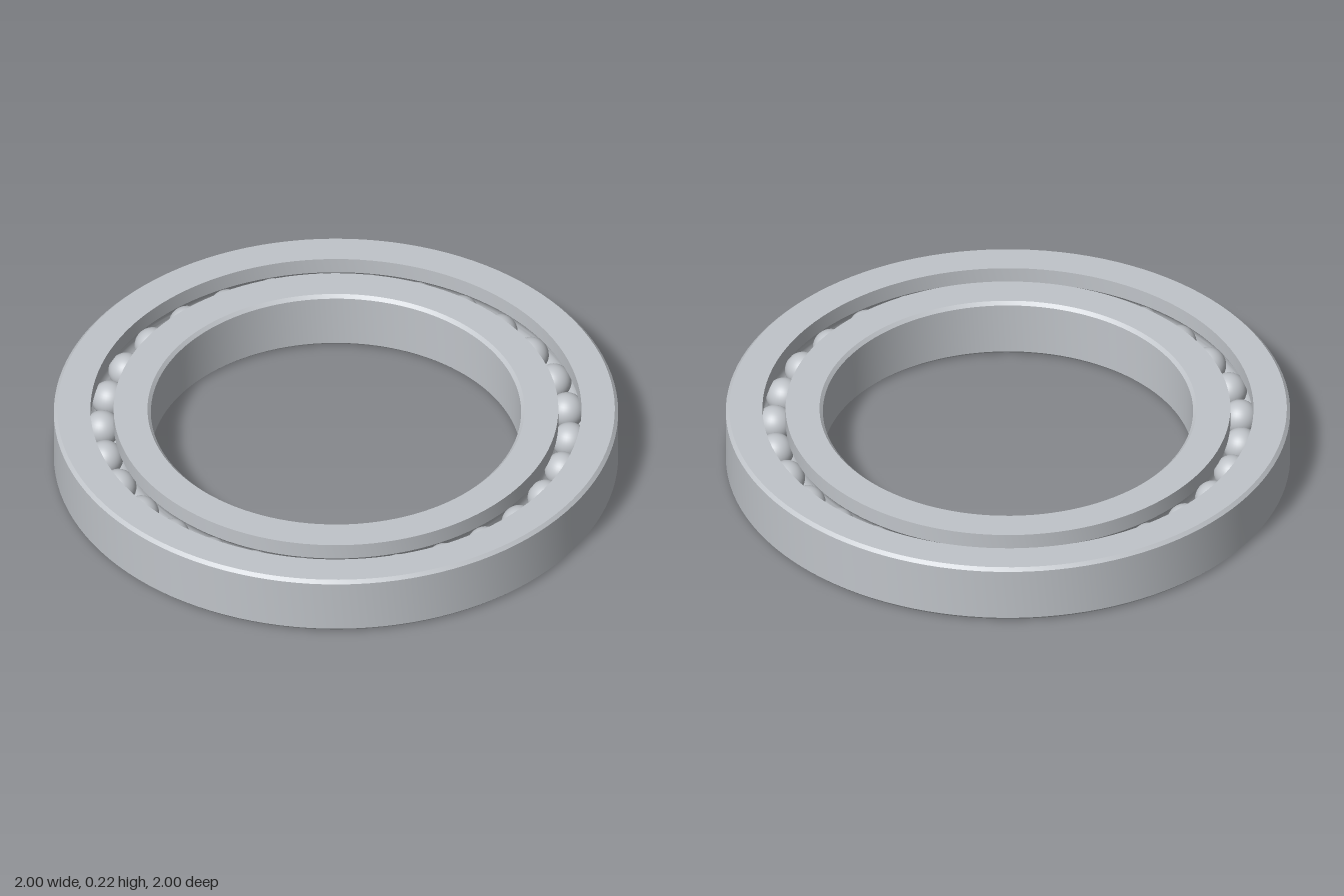
import * as THREE from 'three';
import { toCreasedNormals } from 'three/addons/utils/BufferGeometryUtils.js';

const HEIGHT = 0.222, MID = HEIGHT / 2, CHAMFER = 0.012;
const PITCH = 0.829, BALL_RADIUS = 0.064, BALL_COUNT = 30;

// Half-circle race groove cut into a wall at the given radius; side is +1 (outer ring) or -1 (inner ring).
// Points run downwards for the outer ring and upwards for the inner ring.
function groove(wall, side) {
  const r = BALL_RADIUS + 0.002;
  const half = Math.acos(Math.abs(wall - PITCH) / r);
  const points = [];
  for (let i = 0; i <= 14; i++) {
    const a = half - (2 * half * i) / 14;
    points.push([PITCH + side * r * Math.cos(a), MID + side * r * Math.sin(a)]);
  }
  return points;
}

// Revolves a closed profile, given anticlockwise, keeping its edges sharp
function ring(name, profile, material) {
  const points = [...profile, profile[0]].map(([x, y]) => new THREE.Vector2(x, y));
  const geometry = toCreasedNormals(new THREE.LatheGeometry(points, 120), Math.PI / 6);
  const mesh = new THREE.Mesh(geometry, material);
  mesh.name = name;
  return mesh;
}

export function createModel() {
  const model = new THREE.Group();
  model.name = 'ballBearing';
  const steel = new THREE.MeshStandardMaterial({ color: 0xc0c4c9 });
  steel.name = 'steel';

  // Outer ring: chamfered outside, grooved inside
  const outerWall = 0.87;
  model.add(ring('outerRing', [
    [outerWall, 0], [1 - CHAMFER, 0], [1, CHAMFER],
    [1, HEIGHT - CHAMFER], [1 - CHAMFER, HEIGHT], [outerWall, HEIGHT],
    ...groove(outerWall, 1),
  ], steel));

  // Inner ring: grooved outside, chamfered bore
  const innerWall = 0.788, bore = 0.656;
  model.add(ring('innerRing', [
    [bore + CHAMFER, 0], [innerWall, 0],
    ...groove(innerWall, -1),
    [innerWall, HEIGHT], [bore + CHAMFER, HEIGHT],
    [bore, HEIGHT - CHAMFER], [bore, CHAMFER],
  ], steel));

  // Balls spaced evenly around the race
  const balls = new THREE.Group();
  balls.name = 'balls';
  const ballGeometry = new THREE.SphereGeometry(BALL_RADIUS, 32, 20);
  for (let i = 0; i < BALL_COUNT; i++) {
    const a = (i / BALL_COUNT) * Math.PI * 2;
    const ball = new THREE.Mesh(ballGeometry, steel);
    ball.name = 'ball';
    ball.position.set(PITCH * Math.cos(a), MID, PITCH * Math.sin(a));
    balls.add(ball);
  }
  model.add(balls);
  return model;
}
